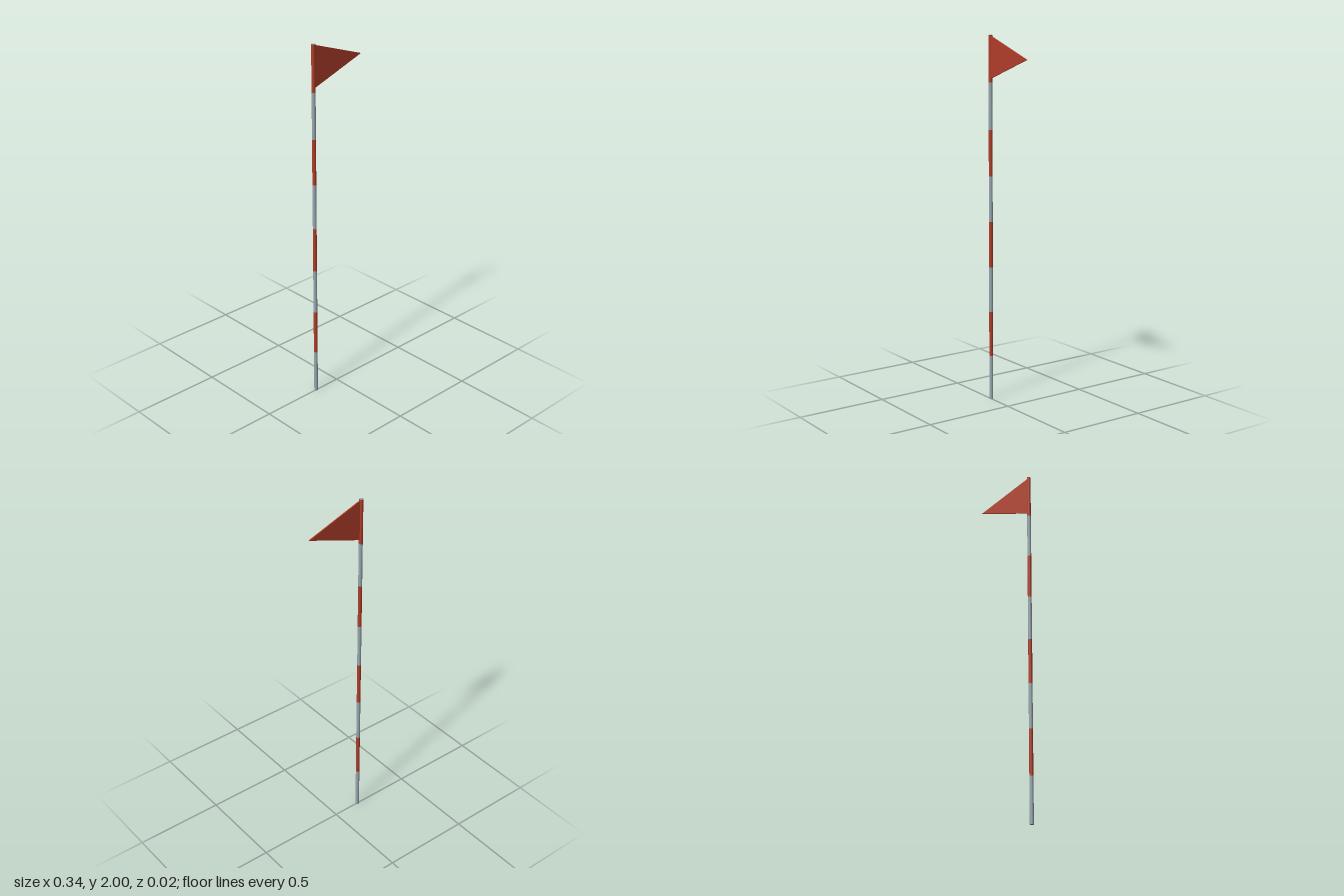
import * as THREE from 'three';

const POLE_X = -0.157, RADIUS = 0.0105, SIDES = 12, BANDS = 8, HEIGHT = 2;

export function createModel() {
  const model = new THREE.Group();
  const grey = new THREE.MeshStandardMaterial({ color: 0x9aa8b0 });
  const red = new THREE.MeshStandardMaterial({ color: 0xb23e2a });

  const add = (name, geometry, material, x, y, z = 0) => {
    const mesh = new THREE.Mesh(geometry, material);
    mesh.name = name;
    mesh.position.set(x, y, z);
    model.add(mesh);
    return mesh;
  };

  // Pole: equal bands, alternating grey and red from the ground up
  const bandHeight = HEIGHT / BANDS;
  const band = new THREE.CylinderGeometry(RADIUS, RADIUS, bandHeight, SIDES, 1, true);
  for (let i = 0; i < BANDS; i++) {
    add(i % 2 ? 'redPoleBand' : 'greyPoleBand', band, i % 2 ? red : grey,
      POLE_X, (i + 0.5) * bandHeight);
  }

  // Grey end caps, their corners lined up with the pole's
  const cap = new THREE.CircleGeometry(RADIUS, SIDES);
  add('poleTop', cap, grey, POLE_X, HEIGHT).rotation.x = -Math.PI / 2;
  add('poleFoot', cap, grey, POLE_X, 0).rotation.x = Math.PI / 2;

  // Thin triangular pennant, its straight edge set into the pole
  const pennant = new THREE.Shape([
    new THREE.Vector2(-0.15, 1.772),
    new THREE.Vector2(0.1675, 1.883),
    new THREE.Vector2(-0.15, 1.994),
  ]);
  const depth = 0.006;
  add('pennant', new THREE.ExtrudeGeometry(pennant, { depth, bevelEnabled: false }),
    red, 0, 0, -depth / 2);

  return model;
}
